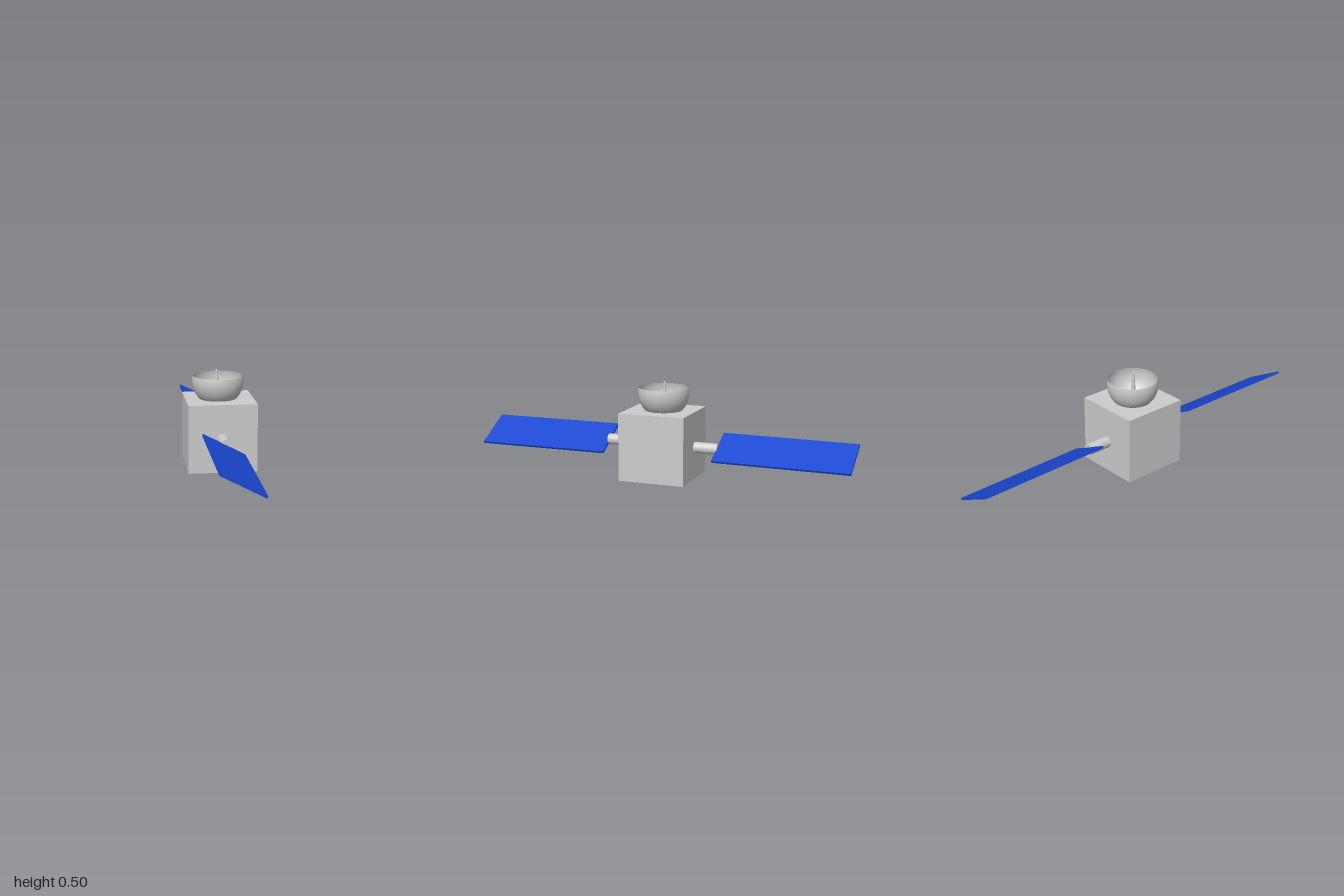
import * as THREE from 'three';

const grey = new THREE.MeshStandardMaterial({ color: 0xcccccc });
const greyOpen = new THREE.MeshStandardMaterial({ color: 0xcccccc, side: THREE.DoubleSide });
const blue = new THREE.MeshStandardMaterial({ color: 0x1a47d0 });

function addPart(parent, name, geometry, material, x, y, z) {
  const mesh = new THREE.Mesh(geometry, material);
  mesh.name = name;
  mesh.position.set(x, y, z);
  parent.add(mesh);
  return mesh;
}

// One wing: a round strut out of the body and a tilted solar panel
function addWing(parent, name, side, strutY, panelStart, panelEnd, tilt) {
  const wing = new THREE.Group();
  wing.name = name;
  parent.add(wing);

  const strut = new THREE.CylinderGeometry(0.029, 0.029, 0.18, 32).rotateX(Math.PI / 2);
  addPart(wing, 'strut', strut, grey, -0.003, strutY, side * 0.21);

  // The panel follows the line between its inner and outer centres
  const axis = panelEnd.clone().sub(panelStart);
  const panel = addPart(wing, 'solarPanel', new THREE.BoxGeometry(0.236, 0.011, axis.length()), blue, 0, 0, 0);
  panel.position.copy(panelStart).addScaledVector(axis, 0.5);
  const aim = new THREE.Quaternion().setFromUnitVectors(
    new THREE.Vector3(0, 0, side), axis.normalize());
  panel.quaternion.setFromAxisAngle(new THREE.Vector3(0, 0, 1), tilt).premultiply(aim);
}

export function createModel() {
  const model = new THREE.Group();
  model.name = 'satellite';

  // Cube body
  addPart(model, 'body', new THREE.BoxGeometry(0.35, 0.35, 0.35), grey, 0, 0.175, 0);

  // Open bowl dish: a sphere cut a little above its equator, sunk into the body
  const rimAngle = Math.acos(0.028 / 0.132);
  const bowl = new THREE.SphereGeometry(0.132, 48, 24, 0, Math.PI * 2, rimAngle, Math.PI - rimAngle);
  addPart(model, 'dish', bowl, greyOpen, -0.006, 0.44, -0.004);

  // Tapered feed spike in the dish
  addPart(model, 'feedSpike', new THREE.CylinderGeometry(0.005, 0.018, 0.16, 24), grey, -0.012, 0.418, -0.006);

  // Front and back wings, the back one slightly lower and askew
  addWing(model, 'frontWing', 1, 0.174,
    new THREE.Vector3(-0.012, 0.176, 0.295), new THREE.Vector3(-0.012, 0.176, 1), -0.485);
  addWing(model, 'backWing', -1, 0.165,
    new THREE.Vector3(-0.009, 0.173, -0.295), new THREE.Vector3(-0.013, 0.167, -1), -0.45);

  return model;
}
